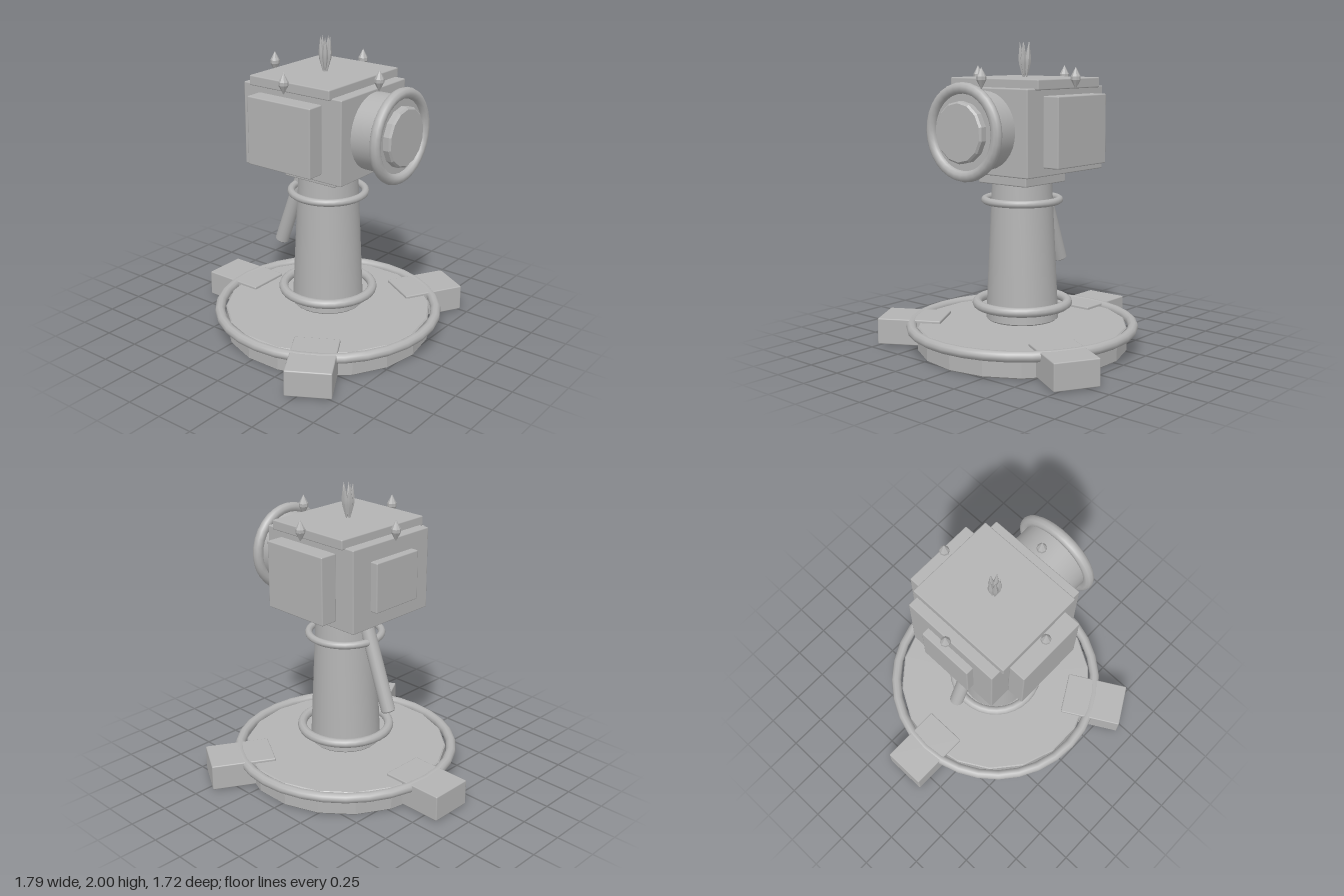
import * as THREE from 'three';
import { RoundedBoxGeometry } from 'three/addons/geometries/RoundedBoxGeometry.js';
import { toCreasedNormals } from 'three/addons/utils/BufferGeometryUtils.js';

export function createModel() {
  const model = new THREE.Group();
  const grey = new THREE.MeshStandardMaterial({ color: 0xb3b3b3 });
  grey.name = 'stone grey';
  const AXIS = 0.094; // z of the base and column axis
  const HEAD = 0.065; // z of the head centre

  function add(name, geometry, x, y, z, parent = model) {
    const mesh = new THREE.Mesh(geometry, grey);
    mesh.name = name;
    mesh.position.set(x, y, z);
    parent.add(mesh);
    return mesh;
  }
  const box = (w, h, d) => new RoundedBoxGeometry(w, h, d, 1, 0.008);
  // Solid of revolution with small bevels at both ends
  function drum(rBottom, rTop, height, sides, bevel = 0.008, crease = 0.5) {
    const h = height / 2;
    const profile = [
      [0, -h], [rBottom - bevel, -h], [rBottom, -h + bevel],
      [rTop, h - bevel], [rTop - bevel, h], [0, h],
    ].map(([r, y]) => new THREE.Vector2(r, y));
    return toCreasedNormals(new THREE.LatheGeometry(profile, sides), crease);
  }
  function ring(name, radius, tube, y) {
    const mesh = add(name, new THREE.TorusGeometry(radius, tube, 10, 32), 0, y, AXIS);
    mesh.rotation.x = Math.PI / 2;
    return mesh;
  }
  // Double-pointed spindle
  function spindle(radius, height, sides) {
    const h = height / 2;
    const profile = [[0, -h], [radius, -h * 0.15], [radius, h * 0.15], [0, h]]
      .map(([r, y]) => new THREE.Vector2(r, y));
    return toCreasedNormals(new THREE.LatheGeometry(profile, sides), 0.3);
  }

  // Base disc, rim and three feet
  add('baseDisc', drum(0.69, 0.69, 0.165, 18, 0.008, 0.2), 0, 0.0825, AXIS);
  ring('baseRim', 0.73, 0.034, 0.154);
  for (let i = 0; i < 3; i++) {
    const angle = Math.PI + (i * Math.PI * 2) / 3;
    const foot = add('foot', box(0.295, 0.175, 0.43),
      Math.sin(angle) * 0.737, 0.0955, AXIS + Math.cos(angle) * 0.737);
    foot.rotation.y = angle;
  }

  // Tapered column with its rings and neck
  add('column', drum(0.238, 0.195, 0.92, 24), 0, 0.66, AXIS);
  ring('lowerRing', 0.298, 0.031, 0.306);
  ring('upperRing', 0.243, 0.024, 0.988);
  add('neck', box(0.4, 0.1, 0.4), 0, 1.15, AXIS);

  // Slanted handle behind the column
  const top = new THREE.Vector3(0, 1.19, -0.065);
  const bottom = new THREE.Vector3(0, 0.533, -0.305);
  const along = top.clone().sub(bottom);
  const handle = add('handle', drum(0.047, 0.047, along.length(), 16), 0, 0, 0);
  handle.position.copy(top).add(bottom).multiplyScalar(0.5);
  handle.quaternion.setFromUnitVectors(new THREE.Vector3(0, 1, 0), along.normalize());

  // Head, roof and panels
  add('head', box(0.68, 0.54, 0.76), 0, 1.45, HEAD);
  add('roof', box(0.73, 0.065, 0.62), 0, 1.743, 0.063);
  for (const side of [-1, 1]) {
    add('sidePanel', box(0.12, 0.44, 0.487), side * 0.408, 1.455, HEAD);
  }
  add('backPanel', box(0.374, 0.325, 0.08), 0, 1.453, -0.327);

  // Lens barrel, bezel and front disc
  const lens = new THREE.Group();
  lens.name = 'lens';
  lens.position.set(0, 1.457, 0);
  model.add(lens);
  const barrel = add('lensBarrel', drum(0.245, 0.245, 0.24, 32), 0, 0, 0.52, lens);
  barrel.rotation.x = Math.PI / 2;
  add('lensBezel', new THREE.TorusGeometry(0.268, 0.035, 10, 32), 0, 0, 0.639, lens);
  const disc = add('lensDisc', drum(0.19, 0.19, 0.09, 14, 0.012, 0.2), 0, 0, 0.645, lens);
  disc.rotation.x = Math.PI / 2;

  // Four small spindles hovering around the head
  for (const [x, z] of [[0.41, HEAD], [-0.41, HEAD], [0, 0.477], [0, -0.345]]) {
    add('smallFinial', spindle(0.031, 0.137, 8), x, 1.778, z);
  }

  // Central finial: a tight cluster of leaning shards
  const cluster = new THREE.Group();
  cluster.name = 'crownFinial';
  cluster.position.set(0, 1.88, HEAD);
  model.add(cluster);
  for (let i = 0; i < 5; i++) {
    const pivot = new THREE.Group();
    pivot.name = 'crownShard';
    pivot.rotation.y = (i * Math.PI * 2) / 5;
    cluster.add(pivot);
    const shard = add('shard', spindle(0.02, 0.241, 6), 0.022, 0, 0, pivot);
    shard.rotation.z = -0.09;
  }
  return model;
}
